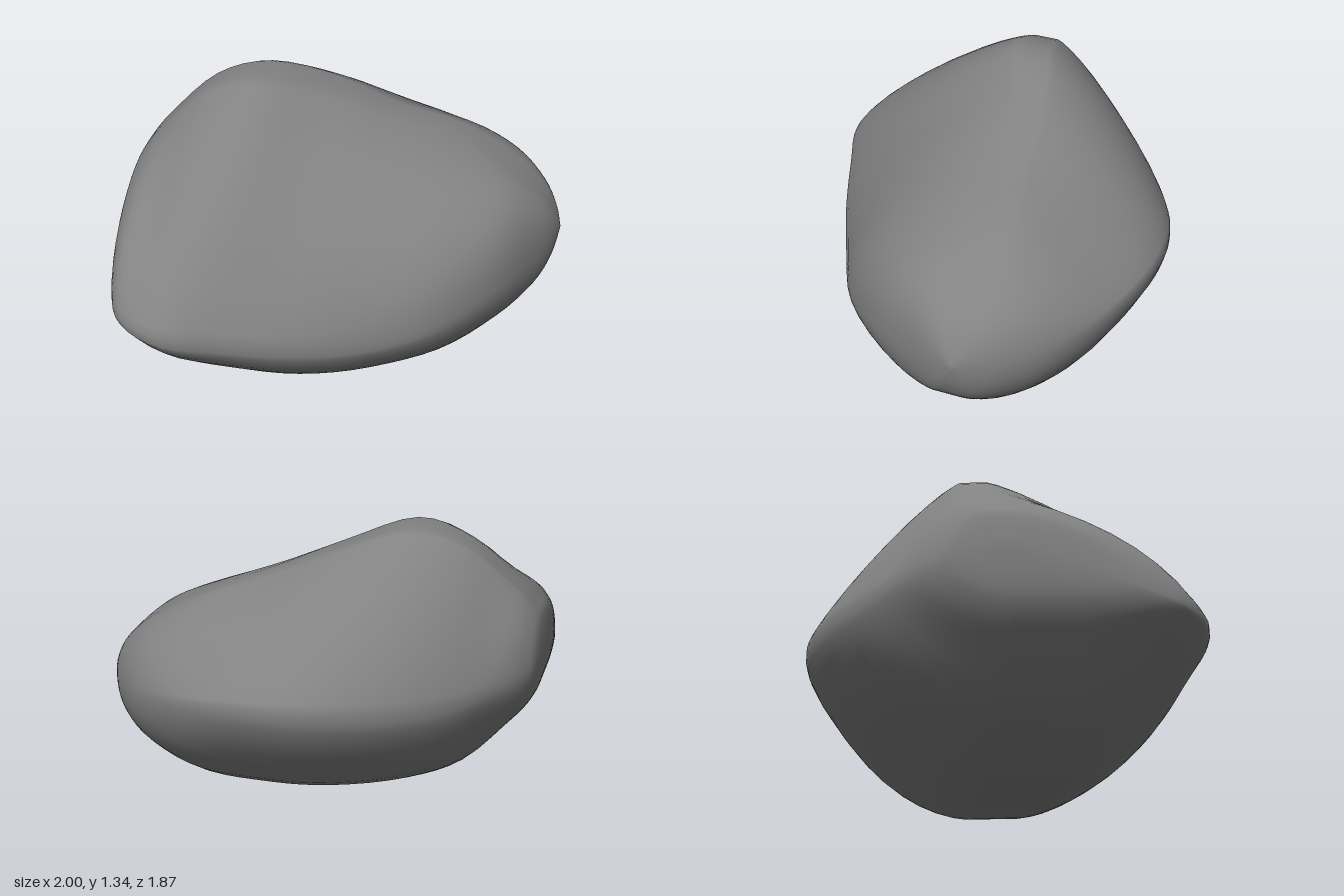
import * as THREE from 'three';
import { mergeVertices } from 'three/addons/utils/BufferGeometryUtils.js';

// Cross-sections along x:
// [x, topY, topFrontZ, topBackZ, frontY, frontZ, bottomY, bottomFrontZ, bottomBackZ, backY, backZ]
const STATIONS = [
  [-1.00, 0.76, 0.06, 0.06, 0.76, 0.06, 0.76, 0.06, 0.06, 0.76, 0.06],
  [-0.985, 0.90, 0.07, 0.00, 0.65, 0.42, 0.59, 0.28, 0.08, 0.74, -0.14],
  [-0.95, 0.97, 0.04, -0.06, 0.55, 0.68, 0.48, 0.40, 0.10, 0.71, -0.24],
  [-0.86, 1.08, 0.00, -0.10, 0.51, 0.85, 0.36, 0.40, 0.08, 0.69, -0.37],
  [-0.65, 1.27, -0.04, -0.16, 0.48, 0.935, 0.15, 0.34, 0.02, 0.66, -0.60],
  [-0.40, 1.34, -0.03, -0.20, 0.43, 0.86, 0.05, 0.34, -0.02, 0.67, -0.79],
  [-0.10, 1.25, -0.15, -0.28, 0.37, 0.75, 0.01, 0.33, -0.09, 0.69, -0.92],
  [0.20, 1.125, -0.22, -0.31, 0.34, 0.61, 0.00, 0.20, -0.13, 0.69, -0.93],
  [0.50, 1.015, -0.29, -0.37, 0.38, 0.45, 0.055, 0.05, -0.20, 0.65, -0.835],
  [0.75, 0.885, -0.19, -0.36, 0.46, 0.21, 0.19, -0.06, -0.25, 0.59, -0.67],
  [0.90, 0.76, -0.21, -0.33, 0.51, -0.03, 0.31, -0.15, -0.27, 0.56, -0.50],
  [0.97, 0.65, -0.24, -0.30, 0.54, -0.17, 0.43, -0.22, -0.28, 0.56, -0.37],
  [1.00, 0.56, -0.27, -0.27, 0.56, -0.27, 0.56, -0.27, -0.27, 0.56, -0.27],
];
const STEPS = 4;    // rings between two stations
const QUARTER = 10; // segments per quarter of a ring

// Smooth interpolation between the stations
function sectionAt(i, t) {
  const row = (k) => STATIONS[THREE.MathUtils.clamp(k, 0, STATIONS.length - 1)];
  const [a, b, c, d] = [row(i - 1), row(i), row(i + 1), row(i + 2)];
  return b.map((v, k) => {
    const m0 = (c[k] - a[k]) / 2, m1 = (d[k] - v) / 2, e = c[k] - v;
    return v + t * (m0 + t * (3 * e - 2 * m0 - m1 + t * (m0 + m1 - 2 * e)));
  });
}

// Closed ring: four rounded arcs, joined by short flats at top, front, bottom and back
function ring([x, ty, tf, tb, fy, fz, by, bf, bb, ky, kz]) {
  const { smoothstep } = THREE.MathUtils;
  const left = 1 - smoothstep(x, -1, -0.75);
  const rim = 0.02 * (ty - by);
  const under = 1.45 + 0.4 * smoothstep(x, 0.2, 1) + 0.35 * left;
  const arcs = [ // [pole y, pole z, side y, side z, fullness, starts at pole]
    [ty, tf, fy + rim, fz, 1.24 + 0.88 * smoothstep(x, -0.4, 1) + 0.4 * left, true],
    [by, bf, fy - rim, fz, under, false],
    [by, bb, ky - rim, kz, under, true],
    [ty, tb, ky + rim, kz, 1.25 + 0.65 * smoothstep(x, 0.4, 0.95) + 0.45 * left, false],
  ];
  const points = [];
  for (const [py, pz, sy, sz, n, fromPole] of arcs) {
    for (let j = 0; j <= QUARTER; j++) {
      const u = fromPole ? j / QUARTER : 1 - j / QUARTER;
      const s = Math.sin(u * Math.PI / 2) ** (2 / n);
      const c = Math.max(0, Math.cos(u * Math.PI / 2)) ** (2 / n);
      points.push(x, sy + (py - sy) * c, pz + (sz - pz) * s);
    }
  }
  return points;
}

function boulderGeometry() {
  const positions = [], index = [];
  const count = (STATIONS.length - 1) * STEPS, n = (QUARTER + 1) * 4;
  for (let r = 0; r <= count; r++) {
    const i = Math.min(Math.floor(r / STEPS), STATIONS.length - 2);
    positions.push(...ring(sectionAt(i, r / STEPS - i)));
  }
  for (let r = 0; r < count; r++) {
    for (let j = 0; j < n; j++) {
      const a = r * n + j, b = r * n + (j + 1) % n;
      if (r > 0) index.push(a, b, a + n);
      if (r < count - 1) index.push(b, b + n, a + n);
    }
  }
  const geometry = new THREE.BufferGeometry();
  geometry.setAttribute('position', new THREE.Float32BufferAttribute(positions, 3));
  geometry.setIndex(index);
  const merged = mergeVertices(geometry, 1e-4);
  merged.computeVertexNormals();
  return merged;
}

export function createModel() {
  const group = new THREE.Group();
  group.name = 'rock';
  const boulder = new THREE.Mesh(boulderGeometry(), new THREE.MeshStandardMaterial({ color: 0x828282 }));
  boulder.name = 'boulder';
  group.add(boulder);
  return group;
}
